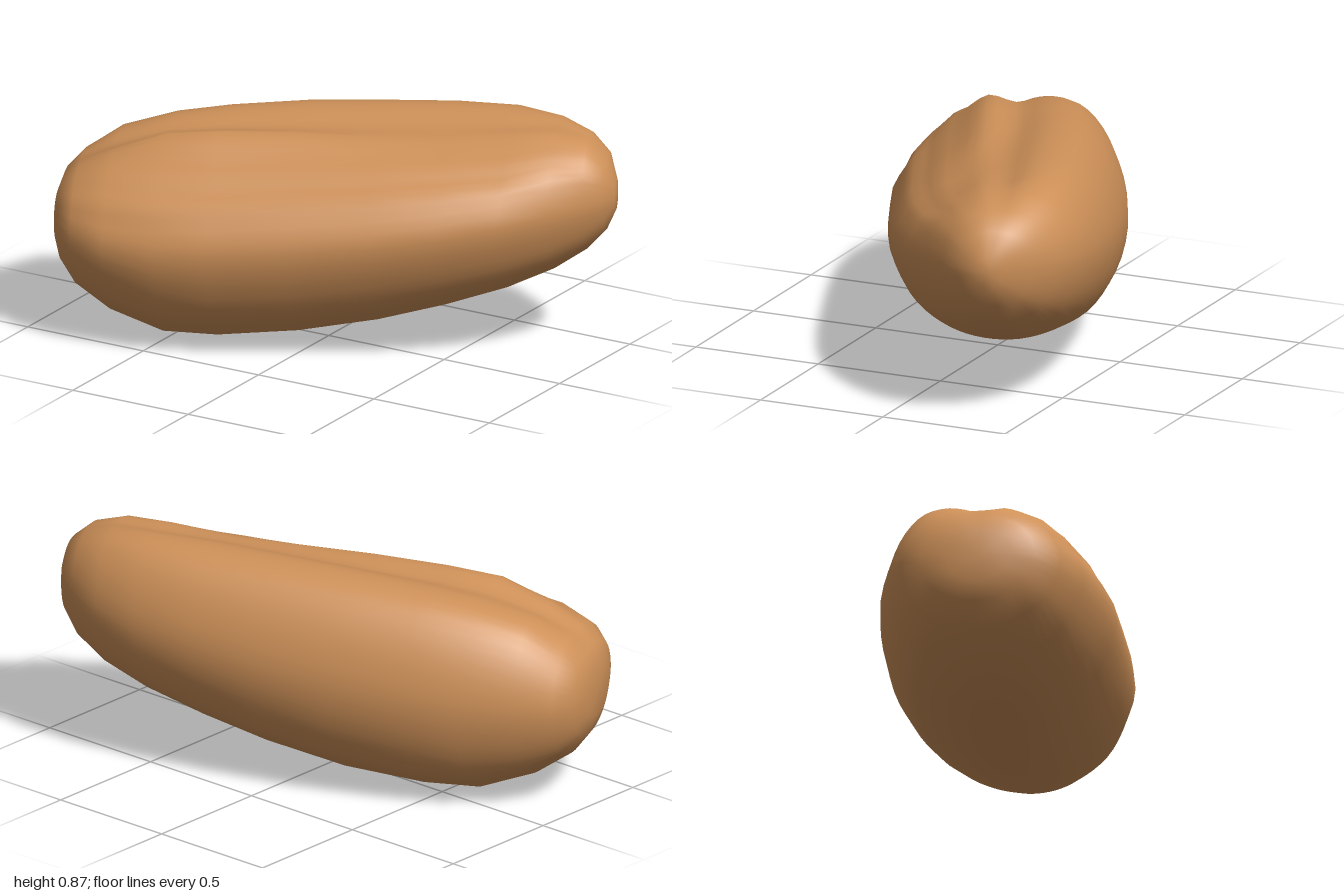
import * as THREE from 'three';

// stations along the loaf: [along, back edge, front edge, underside, top]
const STATIONS = [
  [-1.015, -0.14, 0.1, 0.32, 0.52], [-0.99, -0.24, 0.19, 0.25, 0.59],
  [-0.93, -0.32, 0.28, 0.17, 0.65], [-0.8, -0.385, 0.35, 0.08, 0.72],
  [-0.6, -0.44, 0.4, 0.005, 0.775], [-0.4, -0.465, 0.415, 0, 0.805],
  [-0.1, -0.48, 0.41, 0.03, 0.835], [0.2, -0.465, 0.4, 0.09, 0.853],
  [0.45, -0.44, 0.375, 0.16, 0.867], [0.68, -0.395, 0.32, 0.235, 0.87],
  [0.85, -0.335, 0.245, 0.31, 0.86], [0.97, -0.255, 0.17, 0.39, 0.82],
  [1.04, -0.165, 0.11, 0.47, 0.76], [1.075, -0.06, 0.04, 0.55, 0.67],
];

// cross-section from underside, round the front, over the creased top, down the back
const SECTION = [
  [0, 0], [0.45, 0.06], [0.8, 0.22], [0.97, 0.42], [1, 0.52], [0.97, 0.61],
  [0.9, 0.66], [0.86, 0.71], [0.78, 0.755], [0.68, 0.785], [0.6, 0.83],
  [0.45, 0.88], [0.3, 0.93], [0.18, 0.955], [0.05, 0.95], [-0.1, 0.955], [-0.2, 0.98],
  [-0.4, 1], [-0.65, 0.96], [-0.85, 0.83], [-0.97, 0.66], [-1, 0.52],
  [-0.93, 0.33], [-0.75, 0.16], [-0.4, 0.04],
];

// soft lumps and hollows on the top: [along, across, length, width, height]
const LUMPS = [
  [-0.54, 0.05, 0.24, 0.1, 0.045], [-0.74, 0.2, 0.16, 0.1, 0.035],
  [-0.03, 0.06, 0.12, 0.06, 0.015], [0.38, 0.07, 0.2, 0.09, -0.025],
];

const AXIS = new THREE.Vector2(0.92, -0.39);   // plan direction of the loaf
const { smoothstep, lerp } = THREE.MathUtils;

function place(along, across, y) {
  return [along * AXIS.x - across * AXIS.y, y, along * AXIS.y + across * AXIS.x];
}

// section height: the creases fade into a plain dome at both ends
function sectionHeight(s, t, along) {
  if (t < 0.52) return t;
  const dome = 0.52 + 0.48 * Math.pow(Math.max(0, 1 - Math.abs(s) ** 2.4), 0.5);
  const fade = Math.max(smoothstep(along, 0.65, 1), smoothstep(-along, 0.8, 1.02));
  return lerp(t, dome, fade);
}

function bunGeometry() {
  const sides = 60, rows = STATIONS.length - 1;
  const curve = new THREE.CatmullRomCurve3(
    SECTION.map(([s, t]) => new THREE.Vector3(s, t, 0)), true, 'centripetal');
  const ring = curve.getSpacedPoints(sides).slice(0, sides);
  const pos = [], idx = [];

  for (const [along, back, front, low, high] of STATIONS) {
    for (const p of ring) {
      const across = lerp(back, front, (p.x + 1) / 2);
      const rise = smoothstep(p.y, 0.6, 0.78) * smoothstep(along, -1.02, -0.85);
      let y = lerp(low, high, sectionHeight(p.x, p.y, along));
      for (const [u, v, l, w, k] of LUMPS) {
        y += rise * k * Math.exp(-(((along - u) / l) ** 2) - ((across - v) / w) ** 2);
      }
      pos.push(...place(along, across, y));
    }
  }
  for (let i = 0; i < rows; i++) {
    for (let j = 0; j < sides; j++) {
      const k = (j + 1) % sides;
      const a = i * sides + j, b = a + sides, c = i * sides + k, d = c + sides;
      idx.push(a, b, c, b, d, c);
    }
  }
  // rounded end caps
  const tip = pos.length / 3, base = rows * sides;
  for (const [s, out] of [[STATIONS[0], -0.005], [STATIONS[rows], 0.005]]) {
    pos.push(...place(s[0] + out, (s[1] + s[2]) / 2, (s[3] + s[4]) / 2));
  }
  for (let j = 0; j < sides; j++) {
    const k = (j + 1) % sides;
    idx.push(tip, j, k, tip + 1, base + k, base + j);
  }

  const g = new THREE.BufferGeometry();
  g.setAttribute('position', new THREE.Float32BufferAttribute(pos, 3));
  g.setIndex(idx);
  g.computeVertexNormals();
  return g;
}

export function createModel() {
  const crust = new THREE.MeshStandardMaterial({ color: 0xcd9058 });
  crust.name = 'golden crust';

  const group = new THREE.Group();
  group.name = 'breadRoll';
  const bun = new THREE.Mesh(bunGeometry(), crust);
  bun.name = 'bun';
  group.add(bun);
  return group;
}
